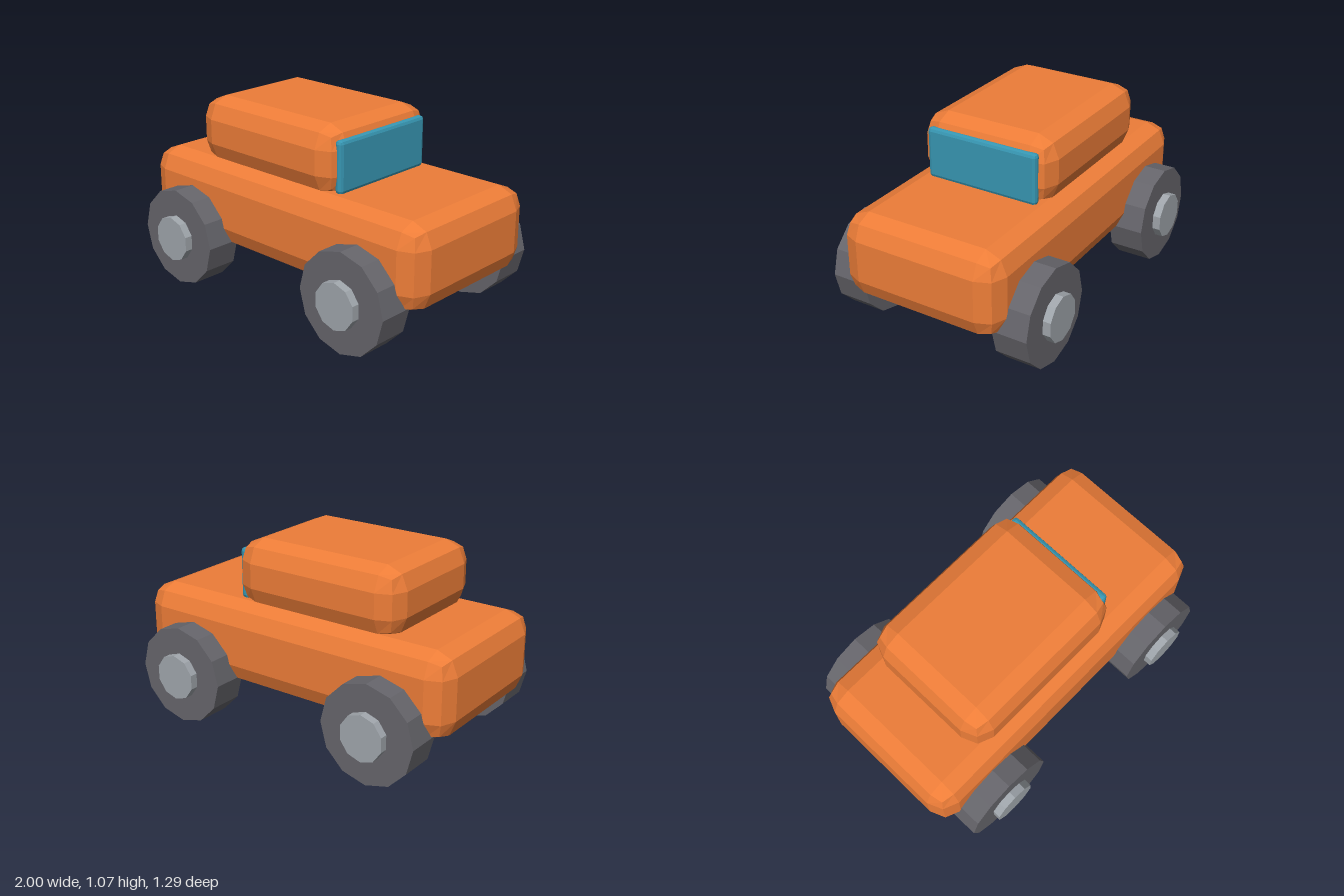
import * as THREE from 'three';
import { RoundedBoxGeometry } from 'three/addons/geometries/RoundedBoxGeometry.js';

const paint = (color) => new THREE.MeshStandardMaterial({ color, flatShading: true });

export function createModel() {
  const car = new THREE.Group();
  car.name = 'toyCar';
  const orange = paint(0xed7d38);
  const glass = paint(0x3796b2);
  const rubber = paint(0x66656b);
  const metal = paint(0xa0a6ac);

  // Box with single-step rounded edges
  const block = (name, size, radius, position, material) => {
    const mesh = new THREE.Mesh(new RoundedBoxGeometry(...size, 1, radius), material);
    mesh.name = name;
    mesh.position.set(...position);
    car.add(mesh);
  };
  block('body', [2, 0.475, 0.95], 0.12, [0, 0.4825, 0], orange);
  block('cabin', [1.04, 0.38, 0.8], 0.12, [-0.135, 0.88, 0], orange);
  block('windshield', [0.05, 0.29, 0.67], 0.02, [0.365, 0.86, 0], glass);

  // Wheels: twelve-sided tyre with a protruding ten-sided hub
  const tyreGeometry = new THREE.CylinderGeometry(0.28, 0.28, 0.2, 12).rotateX(Math.PI / 2);
  const hubGeometry = new THREE.CylinderGeometry(0.13, 0.13, 0.22, 10).rotateX(Math.PI / 2);
  for (const x of [-0.63, 0.63]) {
    for (const side of [-1, 1]) {
      const wheel = new THREE.Group();
      wheel.name = (x > 0 ? 'front' : 'rear') + 'Wheel' + (side > 0 ? 'Right' : 'Left');
      wheel.position.set(x, 0.28, side * 0.5);
      const tyre = new THREE.Mesh(tyreGeometry, rubber);
      tyre.name = 'tyre';
      const hub = new THREE.Mesh(hubGeometry, metal);
      hub.name = 'hub';
      hub.position.z = side * 0.035;
      wheel.add(tyre, hub);
      car.add(wheel);
    }
  }
  return car;
}
